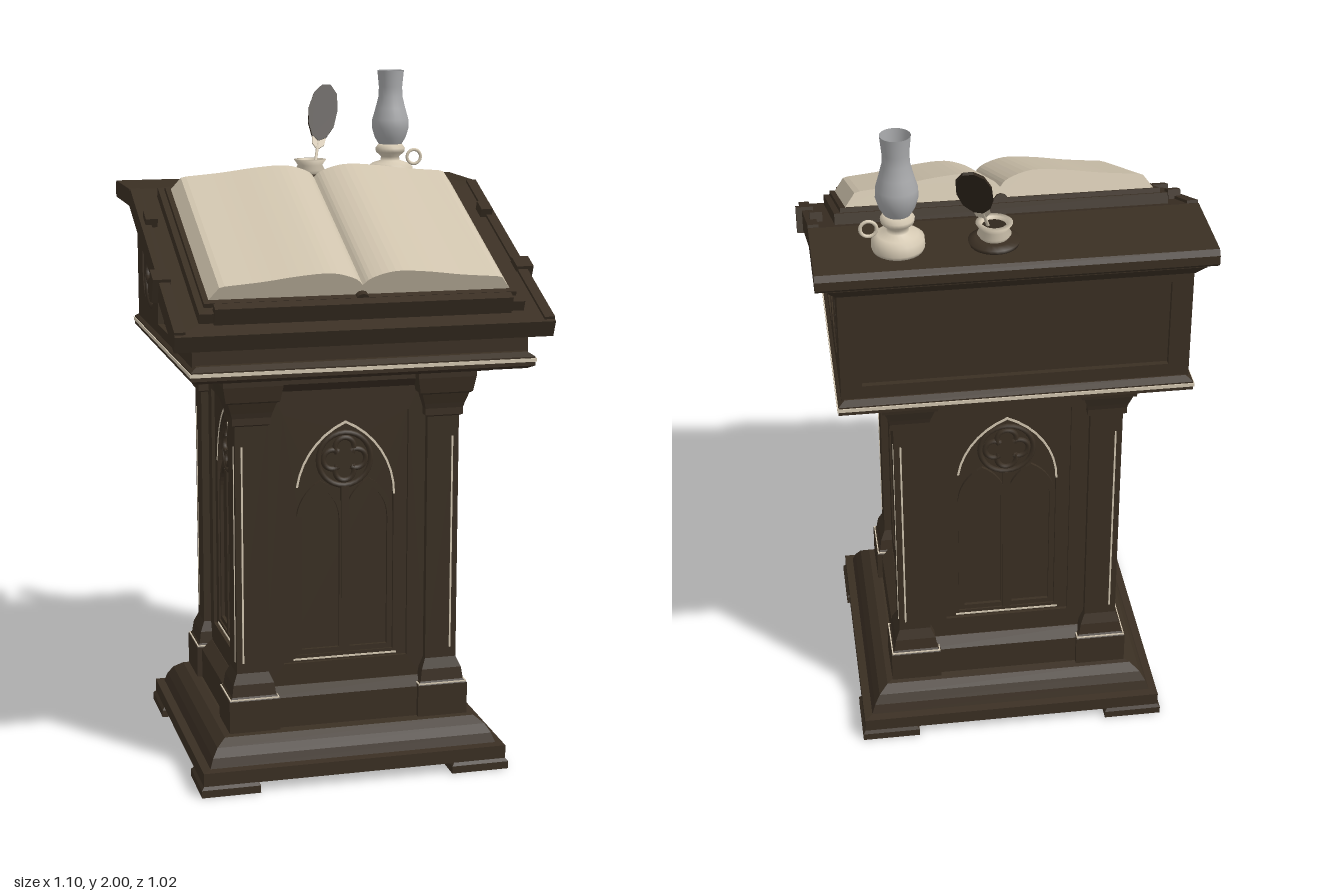
import * as THREE from 'three';

const mat = (name, color, side = THREE.FrontSide) => {
  const m = new THREE.MeshStandardMaterial({ color, side });
  m.name = name;
  return m;
};
const wood = mat('dark oak', 0x3a2f23);
const plume = mat('feather brown', 0x30271d, THREE.DoubleSide);
const paper = mat('paper', 0xcfc3ad);
const ivory = mat('worn ivory', 0xd4c8b2, THREE.DoubleSide);
const glass = mat('smoked glass', 0xa8a9ab, THREE.DoubleSide);

const CZ = -0.016; // centre of the pedestal in z

function add(parent, name, geo, material, x = 0, y = 0, z = 0) {
  const m = new THREE.Mesh(geo, material);
  m.name = name;
  m.position.set(x, y, z);
  parent.add(m);
  return m;
}
const box = (w, h, d) => new THREE.BoxGeometry(w, h, d);

// Stack of rectangles [y, halfX, halfZ] joined by flat faces
function loft(levels) {
  const pos = [];
  const ring = ([y, a, b]) => [[a, y, b], [a, y, -b], [-a, y, -b], [-a, y, b]];
  const quad = (a, b, c, d) => pos.push(...a, ...b, ...c, ...a, ...c, ...d);
  const rings = levels.map(ring);
  for (let k = 0; k < rings.length - 1; k++) {
    for (let i = 0; i < 4; i++) {
      const j = (i + 1) % 4;
      quad(rings[k][i], rings[k][j], rings[k + 1][j], rings[k + 1][i]);
    }
  }
  quad(...rings[rings.length - 1]);
  quad(...rings[0].reverse());
  const g = new THREE.BufferGeometry();
  g.setAttribute('position', new THREE.Float32BufferAttribute(pos, 3));
  g.computeVertexNormals();
  return g;
}

const shapeOf = (pts, holes = []) => {
  const v = (list) => list.map(([x, y]) => new THREE.Vector2(x, y));
  const s = new THREE.Shape(v(pts));
  holes.forEach((h) => s.holes.push(new THREE.Path(v(h))));
  return s;
};
const plate = (pts, holes, depth) =>
  new THREE.ExtrudeGeometry(shapeOf(pts, holes), { depth, bevelEnabled: false });
const rect = (w, y0, y1) => [[-w, y0], [w, y0], [w, y1], [-w, y1]];

// Profile given as [z, y], extruded along x and centred
function sidePlate(pts, holes, width) {
  const flip = (l) => l.map(([z, y]) => [-z, y]);
  const g = plate(flip(pts), holes.map(flip), width);
  g.rotateY(Math.PI / 2);
  g.translate(-width / 2, 0, 0);
  return g;
}

// Pointed arch outline of half width w
function arch(w, y0, spring, h, cx = 0) {
  const r = (w * w + h * h) / (2 * w);
  const end = Math.asin(h / r);
  const right = [];
  for (let i = 0; i <= 8; i++) {
    const t = (end * i) / 8;
    right.push([w - r + r * Math.cos(t), spring + r * Math.sin(t)]);
  }
  const left = right.slice(0, -1).reverse().map(([x, y]) => [-x, y]);
  return [[-w, y0], [w, y0], ...right, ...left].map(([x, y]) => [x + cx, y]);
}

// Four-lobed ring ornament facing +z
function quatrefoil(r) {
  const g = new THREE.Group();
  g.name = 'quatrefoil';
  add(g, 'outerRing', new THREE.TorusGeometry(r, r * 0.1, 6, 28), wood);
  for (let i = 0; i < 4; i++) {
    const a = (i * Math.PI) / 2;
    add(g, 'lobe', new THREE.TorusGeometry(r * 0.36, r * 0.1, 6, 18, Math.PI * 1.4), wood,
      Math.cos(a) * r * 0.45, Math.sin(a) * r * 0.45).rotation.z = a - Math.PI * 0.7;
  }
  return g;
}

// Framed panel with a double lancet window in relief
function windowPanel() {
  const g = new THREE.Group();
  g.name = 'windowPanel';
  const opening = arch(0.145, 0.35, 0.82, 0.22);
  add(g, 'panelFrame', plate(rect(0.245, 0.25, 1.2), [rect(0.185, 0.33, 1.07)], 0.025), wood);
  add(g, 'archPlate', plate(rect(0.186, 0.329, 1.071), [opening], 0.015), wood);
  const edge = arch(0.149, 0.82, 0.82, 0.225).slice(1, -1);
  const inner = arch(0.143, 0.82, 0.82, 0.217).slice(1, -1).reverse();
  add(g, 'archEdge', plate([...edge, ...inner], [], 0.002), ivory, 0, 0, 0.015);
  add(g, 'sillEdge', box(0.31, 0.005, 0.004), ivory, 0, 0.338, 0.016);
  add(g, 'mullion', box(0.022, 0.5, 0.014), wood, 0, 0.6, 0.007);
  for (const s of [-1, 1]) {
    add(g, 'lancet', plate(arch(0.072, 0.35, 0.75, 0.12, s * 0.072),
      [arch(0.056, 0.365, 0.75, 0.1, s * 0.072)], 0.01), wood);
  }
  const q = quatrefoil(0.078);
  q.position.set(0, 0.93, 0.006);
  g.add(q);
  return g;
}

function pedestal() {
  const g = new THREE.Group();
  g.name = 'pedestal';
  g.position.z = CZ;
  add(g, 'baseMoulding', loft([[0.03, 0.452, 0.41], [0.07, 0.452, 0.41], [0.073, 0.428, 0.386],
    [0.1, 0.418, 0.376], [0.125, 0.402, 0.36], [0.145, 0.375, 0.335], [0.15, 0.35, 0.31]]), wood);
  add(g, 'core', box(0.566, 1.06, 0.5), wood, 0, 0.68, 0);
  add(g, 'middlePlinth', loft([[0.15, 0.343, 0.31], [0.24, 0.343, 0.31], [0.265, 0.31, 0.277]]), wood);
  add(g, 'upperMoulding', loft([[1.14, 0.308, 0.275], [1.165, 0.335, 0.302], [1.2, 0.335, 0.302]]), wood);
  const postLevels = [[0.15, 0.075], [0.245, 0.075], [0.255, 0.065], [0.29, 0.06], [0.32, 0.047],
    [1.05, 0.047], [1.055, 0.056], [1.075, 0.056], [1.09, 0.06], [1.12, 0.07], [1.125, 0.078],
    [1.17, 0.086], [1.205, 0.086]].map(([y, r]) => [y, r, r]);
  for (const sx of [-1, 1]) {
    for (const sz of [-1, 1]) {
      add(g, 'foot', loft([[0, 0.086, 0.086], [0.022, 0.086, 0.086], [0.032, 0.078, 0.078]]), wood,
        sx * 0.373, 0, sz * 0.331);
      const x = sx * 0.283, z = sz * 0.25;
      add(g, 'cornerPost', loft(postLevels), wood, x, 0, z);
      add(g, 'plinthEdge', box(0.146, 0.005, 0.146), ivory, x, 0.248, z);
      add(g, 'postEdgeFront', box(0.005, 0.64, 0.004), ivory, x + sx * 0.028, 0.67, z + sz * 0.047);
      add(g, 'postEdgeSide', box(0.004, 0.64, 0.005), ivory, x + sx * 0.047, 0.67, z + sz * 0.028);
    }
  }
  for (let i = 0; i < 4; i++) {
    const p = windowPanel();
    const a = (i * Math.PI) / 2;
    const d = i % 2 ? 0.283 : 0.25;
    p.rotation.y = a;
    p.position.set(Math.sin(a) * d, 0, Math.cos(a) * d);
    p.scale.x = i % 2 ? 0.84 : 1;
    g.add(p);
  }
  return g;
}

function deskBody() {
  const g = new THREE.Group();
  g.name = 'deskBody';
  add(g, 'ledge', loft([[1.195, 0.385, 0.37], [1.21, 0.43, 0.42], [1.215, 0.47, 0.46],
    [1.225, 0.488, 0.478], [1.25, 0.488, 0.478], [1.262, 0.47, 0.46]]), wood);
  add(g, 'ledgeEdge', loft([[1.236, 0.491, 0.481], [1.246, 0.491, 0.481]]), ivory);
  const outline = [[-0.44, 1.25], [0.44, 1.25], [0.44, 1.325], [-0.24, 1.63], [-0.44, 1.63]];
  add(g, 'bodyCore', sidePlate(outline, [], 0.92), wood);
  const roundel = [];
  for (let i = 0; i < 28; i++) {
    const a = (i / 28) * Math.PI * 2;
    roundel.push([-0.255 + 0.115 * Math.cos(a), 1.42 + 0.115 * Math.sin(a)]);
  }
  const panel = [[0.34, 1.285], [-0.1, 1.285], [-0.1, 1.51], [0.34, 1.32]];
  for (const s of [-1, 1]) {
    add(g, 'sideFrame', sidePlate(outline, [roundel, panel], 0.018), wood, s * 0.469, 0, 0);
    const q = quatrefoil(0.108);
    q.position.set(s * 0.465, 1.42, -0.255);
    q.rotation.y = (s * Math.PI) / 2;
    g.add(q);
  }
  add(g, 'backFrame', plate(rect(0.478, 1.25, 1.63), [rect(0.42, 1.3, 1.56)], 0.016), wood, 0, 0, -0.456);
  add(g, 'topMoulding', loft([[1.585, 0.48, 0.11], [1.615, 0.505, 0.135], [1.63, 0.505, 0.135]]),
    wood, 0, 0, -0.35);
  add(g, 'deskTop', sidePlate([[-0.5, 1.63], [-0.5, 1.655], [-0.488, 1.67], [-0.23, 1.67],
    [0.506, 1.353], [0.487, 1.308], [-0.24, 1.62], [-0.49, 1.62]], [], 1.07), wood);
  return g;
}

// Sloping tray and open book, local +z runs down the slope
function bookRest() {
  const g = new THREE.Group();
  g.name = 'bookRest';
  g.position.set(0, 1.67, -0.23);
  g.rotation.x = Math.atan2(0.317, 0.736);
  add(g, 'tray', box(0.92, 0.03, 0.69), wood, 0, 0.015, 0.395);
  add(g, 'bookLip', box(0.84, 0.05, 0.03), wood, 0, 0.025, 0.735);
  add(g, 'bookCover', box(0.885, 0.014, 0.64), wood, 0, 0.036, 0.388);
  add(g, 'bookSpine', new THREE.CylinderGeometry(0.02, 0.02, 0.64, 10).rotateX(Math.PI / 2), wood, 0, 0.035, 0.388);
  const half = new THREE.SplineCurve([[0, 0.072], [0.025, 0.094], [0.09, 0.113], [0.18, 0.108],
    [0.28, 0.094], [0.385, 0.084]].map((p) => new THREE.Vector2(...p))).getPoints(20).map((p) => [p.x, p.y]);
  for (const s of [-1, 1]) {
    const pts = [[0, 0.042], ...half, [0.4, 0.08], [0.428, 0.042]].map(([x, y]) => [s * x, y]);
    add(g, 'pageBlock', plate(pts, [], 0.607), paper, 0, 0, 0.083);
    add(g, 'sideRail', box(0.03, 0.008, 0.78), wood, s * 0.52, 0.004, 0.4);
    add(g, 'strap', box(0.05, 0.075, 0.055), wood, s * 0.527, -0.02, 0.51);
    add(g, 'clasp', box(0.035, 0.03, 0.05), wood, s * 0.505, 0.012, 0.2);
  }
  return g;
}

const lathe = (pts) => new THREE.LatheGeometry(pts.map((p) => new THREE.Vector2(...p)), 24);

function lamp() {
  const g = new THREE.Group();
  g.name = 'oilLamp';
  g.position.set(0.305, 1.67, -0.37);
  add(g, 'lampBase', lathe([[0, 0], [0.068, 0], [0.072, 0.01], [0.07, 0.035], [0.055, 0.046],
    [0.03, 0.054], [0.028, 0.066], [0.044, 0.08], [0.046, 0.092], [0.036, 0.105], [0, 0.105]]), ivory);
  add(g, 'chimney', lathe([[0.033, 0.1], [0.048, 0.125], [0.057, 0.155], [0.056, 0.18],
    [0.046, 0.215], [0.037, 0.25], [0.036, 0.28], [0.041, 0.33]]), glass);
  add(g, 'handle', new THREE.TorusGeometry(0.022, 0.005, 8, 18), ivory, 0.077, 0.063, 0);
  return g;
}

function inkwell() {
  const g = new THREE.Group();
  g.name = 'inkwellAndQuill';
  g.position.set(0.05, 1.67, -0.375);
  add(g, 'saucer', lathe([[0, 0], [0.066, 0], [0.07, 0.012], [0.05, 0.018], [0, 0.018]]), wood);
  add(g, 'cup', lathe([[0.035, 0.015], [0.046, 0.03], [0.038, 0.045], [0.05, 0.062], [0.034, 0.062], [0.03, 0.04]]), ivory);
  add(g, 'ink', new THREE.CylinderGeometry(0.034, 0.034, 0.006, 18), plume, 0, 0.05, 0);
  const quill = new THREE.Group();
  quill.name = 'quill';
  quill.position.set(0.01, 0.03, 0.015);
  quill.rotation.set(-0.54, 0, -0.25);
  add(quill, 'shaft', new THREE.CylinderGeometry(0.003, 0.005, 0.2, 8), ivory, 0, 0.1, 0);
  add(quill, 'down', plate([[0, 0.07], [0.02, 0.09], [0.024, 0.135], [-0.024, 0.135], [-0.018, 0.09]], [], 0.006), ivory, 0, 0, -0.003);
  add(quill, 'vane', plate([[-0.022, 0.115], [0, 0.1], [0.022, 0.115], [0.042, 0.16], [0.047, 0.22],
    [0.038, 0.275], [0.015, 0.302], [-0.012, 0.297], [-0.034, 0.265], [-0.044, 0.21], [-0.038, 0.155]], [], 0.009), plume, 0, 0, -0.0045);
  g.add(quill);
  return g;
}

export function createModel() {
  const model = new THREE.Group();
  model.name = 'lectern';
  model.add(pedestal(), deskBody(), bookRest(), lamp(), inkwell());
  return model;
}
